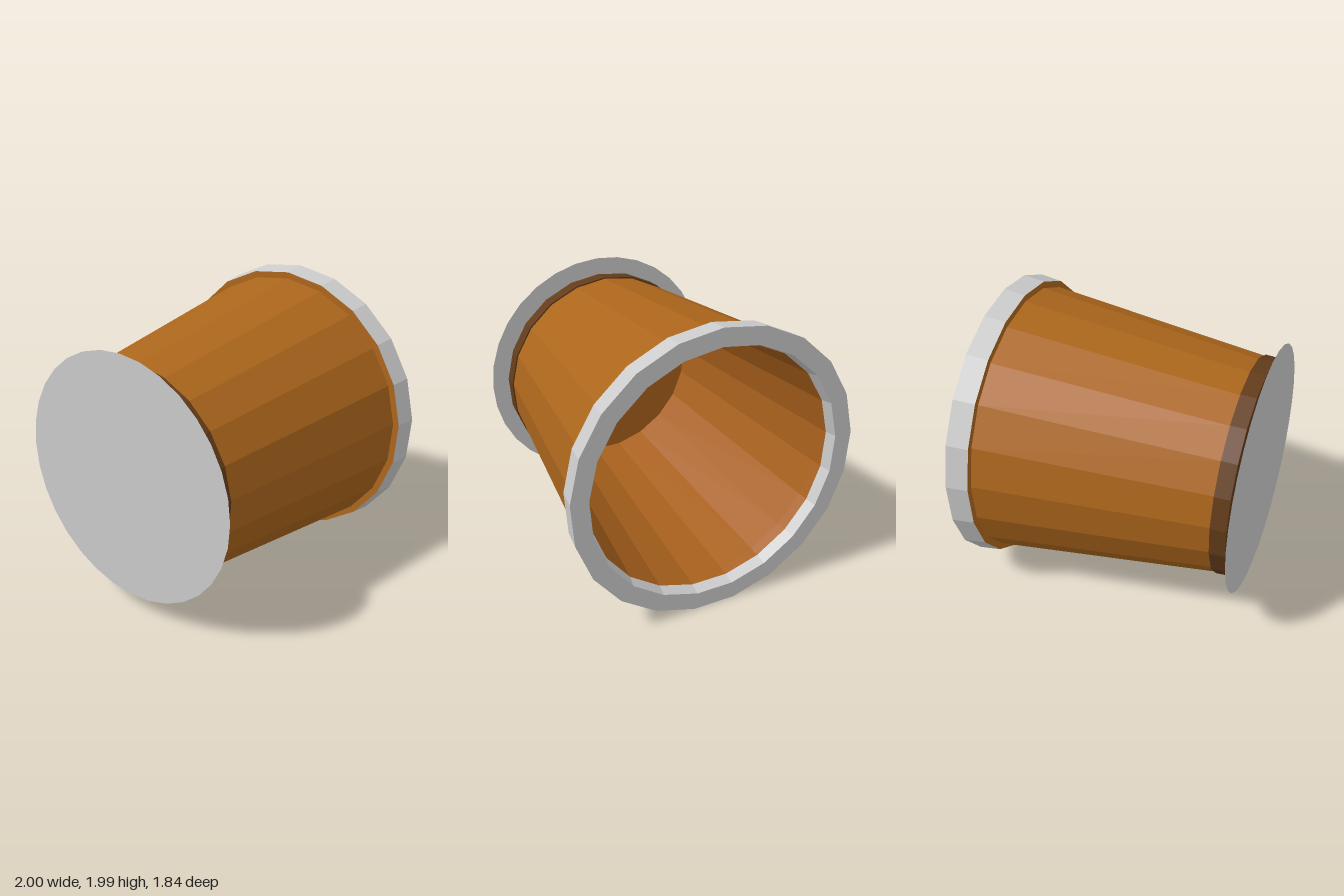
import * as THREE from 'three';

const SIDES = 21;
const CENTRE_Y = 0.992;

// Turned part lying along z; profile is a list of [radius, z]
function turned(name, profile, color) {
  const points = profile.map(([r, z]) => new THREE.Vector2(r, z));
  const geometry = new THREE.LatheGeometry(points, SIDES, Math.PI);
  geometry.rotateX(Math.PI / 2);
  const material = new THREE.MeshStandardMaterial({ color, flatShading: true });
  const mesh = new THREE.Mesh(geometry, material);
  mesh.name = name;
  return mesh;
}

export function createModel() {
  const bucket = new THREE.Group();
  bucket.name = 'bucket';

  // Grey rim around the open end
  bucket.add(turned('rim', [
    [0.86, -0.84], [0.88, -0.918], [1.003, -0.918], [0.983, -0.77],
  ], 0xcccccc));

  // Tapered outside wall, with the ledge under the rim
  bucket.add(turned('outerWall', [
    [0.983, -0.77], [0.938, -0.77], [0.743, 0.78],
  ], 0xac661c));

  // Dark band and underside at the closed end
  bucket.add(turned('footBand', [
    [0.743, 0.78], [0.753, 0.78], [0.746, 0.885], [0, 0.885],
  ], 0x633c1a));

  // Inside floor and wall
  bucket.add(turned('innerWall', [
    [0, 0.8], [0.67, 0.8], [0.85, -0.77], [0.86, -0.84],
  ], 0xa8601c));

  // Thin round plate in front of the closed end
  const plate = new THREE.Mesh(
    new THREE.CircleGeometry(0.855, 32),
    new THREE.MeshStandardMaterial({ color: 0xcccccc, side: THREE.DoubleSide }),
  );
  plate.name = 'endPlate';
  plate.position.z = 0.918;
  bucket.add(plate);

  bucket.position.y = CENTRE_Y;
  const model = new THREE.Group();
  model.add(bucket);
  return model;
}
